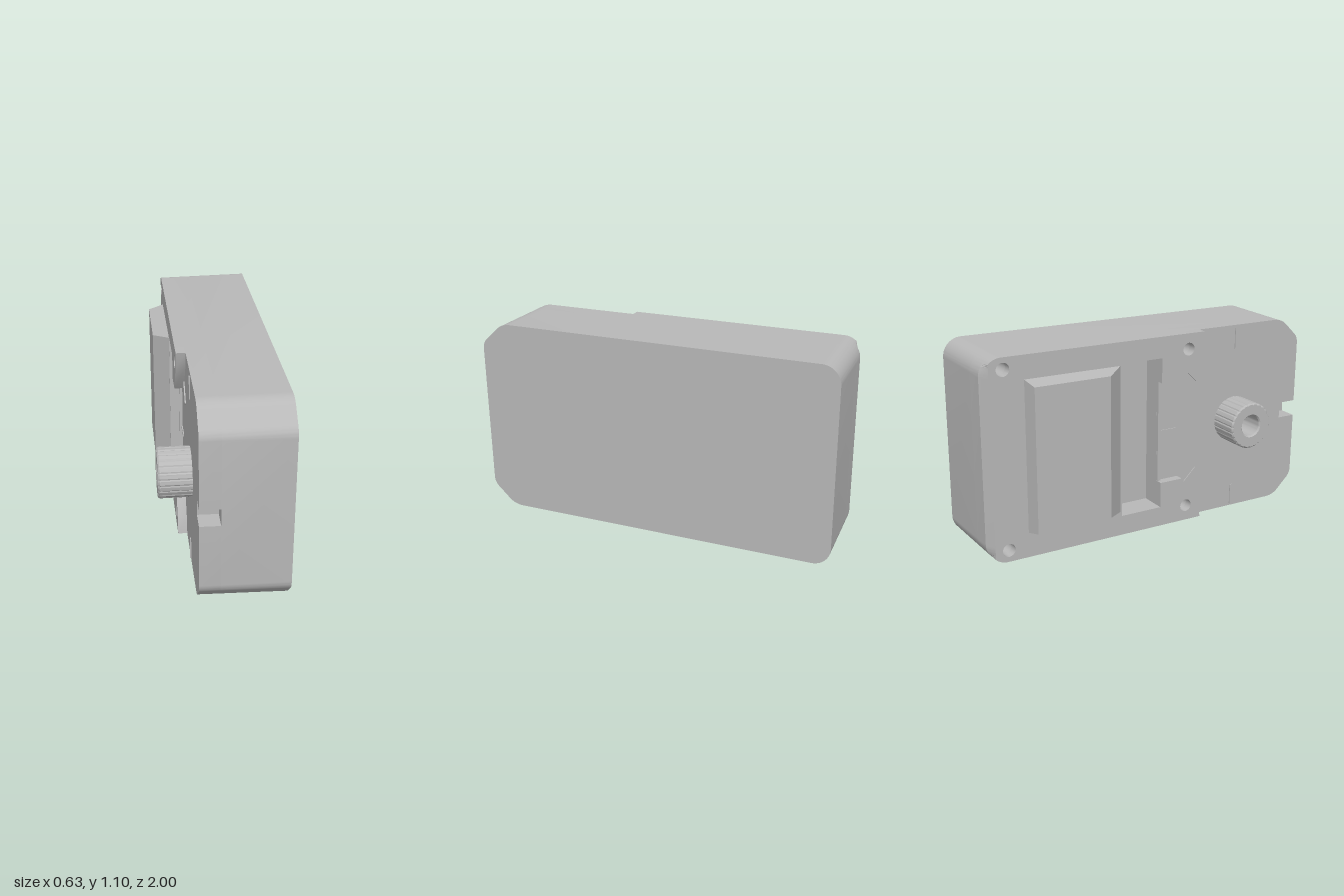
import * as THREE from 'three';
import { toCreasedNormals } from 'three/addons/utils/BufferGeometryUtils.js';

const MID_Y = 0.553;
const FLOOR = -0.04, FACE = -0.145, PLATE = -0.195; // x of pocket floor, front face, raised plate
const LOW = 0.008, HIGH = 1.098;
const KNOB = { z: 0.545, y: 0.55 };

export function createModel() {
  const model = new THREE.Group();
  model.name = 'gearedMotorCase';
  const tilted = new THREE.Group();
  tilted.name = 'case';
  tilted.rotation.set(0.0075, -0.0065, 0);
  tilted.position.z = -0.004;
  model.add(tilted);

  const grey = new THREE.MeshStandardMaterial({ color: 0xb8b8b8 });
  grey.name = 'plainGrey';

  const add = (name, geometry) => {
    const mesh = new THREE.Mesh(geometry, grey);
    mesh.name = name;
    tilted.add(mesh);
    return mesh;
  };

  // Slab from a (z, y) shape, running from xRight to xLeft, with a slight draft
  const slab = (shape, xRight, xLeft) => {
    const g = new THREE.ExtrudeGeometry(shape, {
      depth: xRight - xLeft, bevelEnabled: false, curveSegments: 10,
    });
    g.rotateY(-Math.PI / 2).translate(xRight, 0, 0);
    const p = g.attributes.position;
    for (let i = 0; i < p.count; i++) {
      const x = p.getX(i);
      const k = 1 + 0.022 * (x - 0.31);
      p.setY(i, MID_Y + (p.getY(i) - MID_Y) * k);
      let z = p.getZ(i) * k;
      if (x < FACE - 0.02) z = Math.max(z, -0.955); // chamfer along the rear edge
      p.setZ(i, z);
    }
    return toCreasedNormals(g, 0.5);
  };

  const startRear = (s) => {
    s.moveTo(-0.997, HIGH - 0.1);
    s.lineTo(-0.997, LOW + 0.1);
    s.absarc(-0.897, LOW + 0.1, 0.1, Math.PI, Math.PI * 1.5, false);
  };
  const endRear = (s) => {
    s.lineTo(-0.897, HIGH);
    s.absarc(-0.897, HIGH - 0.1, 0.1, Math.PI / 2, Math.PI, false);
  };

  // Full side outline, optionally with the notch in the front end
  const caseOutline = (notch) => {
    const s = new THREE.Shape();
    startRear(s);
    s.lineTo(0.82, LOW);
    s.quadraticCurveTo(0.875, LOW, 0.91, 0.045);
    s.lineTo(0.965, 0.098);
    s.quadraticCurveTo(0.997, 0.125, 0.997, 0.165);
    if (notch) [[0.997, 0.5], [0.89, 0.5], [0.89, 0.592], [0.997, 0.592]].forEach(([z, y]) => s.lineTo(z, y));
    s.lineTo(0.997, 0.945);
    s.quadraticCurveTo(0.997, 0.985, 0.965, 1.01);
    s.lineTo(0.91, 1.062);
    s.quadraticCurveTo(0.875, HIGH, 0.82, HIGH);
    endRear(s);
    return s;
  };

  // Screw holes
  const drill = (shape) => {
    for (const [z, y] of [[-0.89, 1.035], [-0.89, 0.072], [0.2, 1.01], [0.2, 0.096]]) {
      const h = new THREE.Path();
      h.absarc(z, y, 0.036, 0, Math.PI * 2, true);
      shape.holes.push(h);
    }
    return shape;
  };

  // Solid half of the case
  add('caseBase', slab(caseOutline(false), 0.307, FLOOR));

  // Layer holding the pocket, the screw holes and the notch
  const middle = drill(caseOutline(true));
  middle.holes.push(new THREE.Path([[-0.22, 0.12], [-0.22, 0.98], [0.03, 0.98], [0.03, 0.12]]
    .map(([z, y]) => new THREE.Vector2(z, y))));
  add('caseMiddle', slab(middle, FLOOR, FACE));

  // Raised rear plate with two screw lugs reaching forward
  const plate = new THREE.Shape();
  startRear(plate);
  [[0.3, LOW], [0.28, 0.1], [0.17, 0.265], [0.03, 0.265], [0.03, 0.12], [-0.22, 0.12],
    [-0.22, 0.98], [0.03, 0.98], [0.03, 0.841], [0.17, 0.841], [0.28, 1.006], [0.3, HIGH]]
    .forEach(([z, y]) => plate.lineTo(z, y));
  endRear(plate);
  add('raisedPlate', slab(drill(plate), FACE, PLATE));

  const box = (name, x0, x1, y0, y1, z0, z1) => {
    const mesh = add(name, new THREE.BoxGeometry(x1 - x0, y1 - y0, z1 - z0));
    mesh.position.set((x0 + x1) / 2, (y0 + y1) / 2, (z0 + z1) / 2);
    return mesh;
  };

  // Lip along the front of the pocket
  box('pocketLip', -0.16, FACE, 0.265, 0.841, 0.03, 0.05);

  // Motor cover: a tapered block with a long slope toward the pocket
  const cover = new THREE.BoxGeometry(1, 1, 1);
  const cp = cover.attributes.position;
  for (let i = 0; i < cp.count; i++) {
    const outer = cp.getX(i) < 0, top = cp.getY(i) > 0, front = cp.getZ(i) > 0;
    cp.setXYZ(i,
      outer ? -0.28 : -0.19,
      top ? (outer ? 0.945 : 0.968) : (outer ? 0.17 : 0.15),
      front ? (outer ? -0.33 : -0.22) : (outer ? -0.753 : -0.77));
  }
  cover.computeVertexNormals();
  add('motorCover', cover);

  // Splined output shaft with a bore
  const teeth = 24, spline = [];
  for (let i = 0; i < teeth * 4; i++) {
    const a = (i / (teeth * 4)) * Math.PI * 2;
    const r = i % 4 < 3 ? 0.123 : 0.119;
    spline.push(new THREE.Vector2(Math.cos(a) * r, Math.sin(a) * r));
  }
  const shaftShape = new THREE.Shape(spline);
  const bore = new THREE.Path();
  bore.absarc(0, 0, 0.066, 0, Math.PI * 2, true);
  shaftShape.holes.push(bore);
  const shaft = new THREE.ExtrudeGeometry(shaftShape, {
    depth: 0.165, bevelThickness: 0.008, bevelSize: 0.007, bevelSegments: 1, curveSegments: 24,
  });
  shaft.rotateY(-Math.PI / 2);
  add('outputShaft', toCreasedNormals(shaft, 0.5)).position.set(-0.143, KNOB.y, KNOB.z);

  // Tick marks around the shaft
  for (const [deg, r] of [[90, 0.465], [-90, 0.465], [180, 0.45], [135, 0.42], [225, 0.42]]) {
    const a = THREE.MathUtils.degToRad(deg);
    const tick = add('tickMark', new THREE.BoxGeometry(0.008, 0.014, 0.12));
    tick.position.set(FACE - 0.002, KNOB.y + Math.sin(a) * r, KNOB.z + Math.cos(a) * r);
    tick.rotation.x = -a;
  }

  return model;
}
